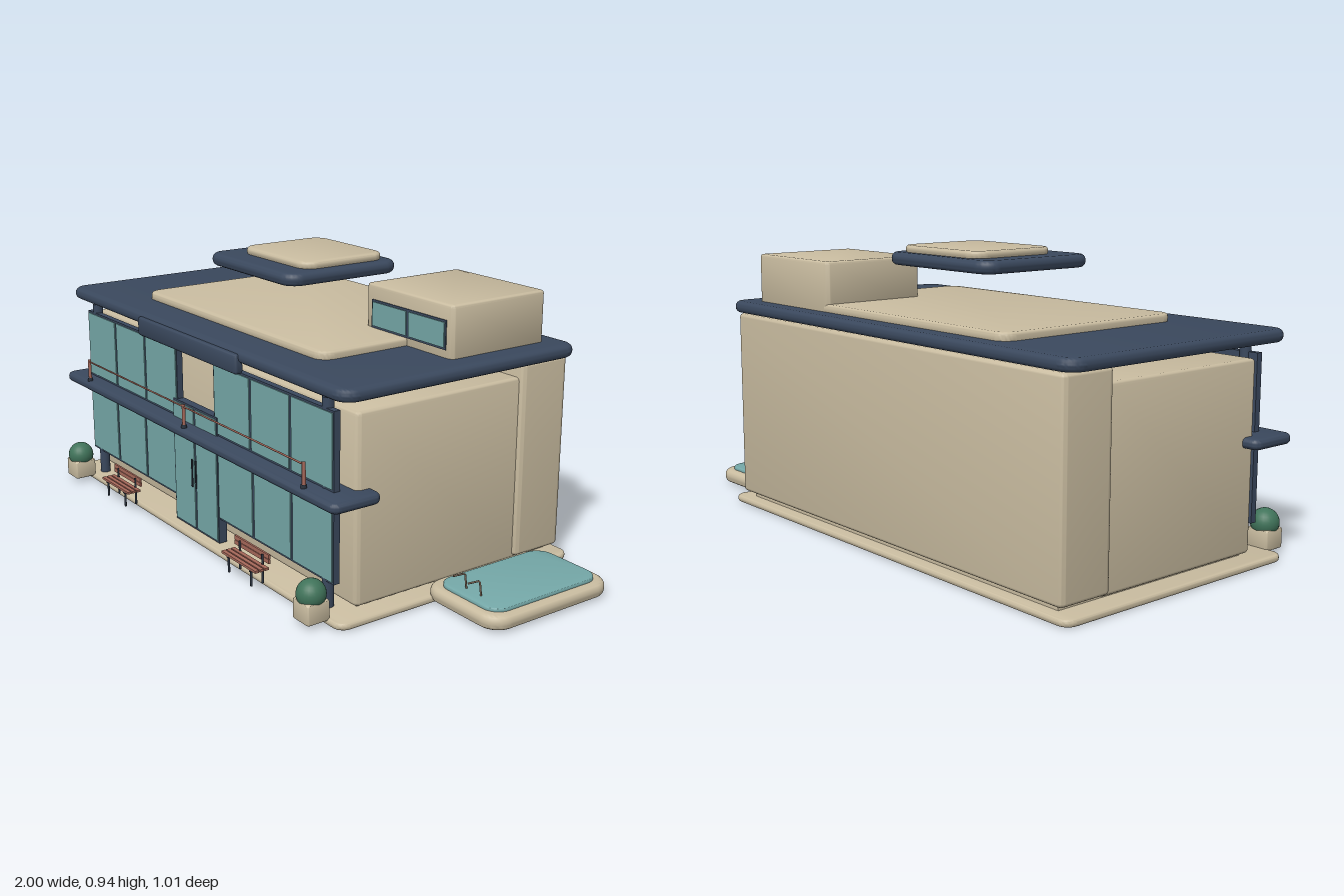
import * as THREE from 'three';
import { toCreasedNormals } from 'three/addons/utils/BufferGeometryUtils.js';

const mat = (name, color) => {
  const m = new THREE.MeshStandardMaterial({ color });
  m.name = name;
  return m;
};

export function createModel() {
  const root = new THREE.Group();
  const sand = mat('sand', 0xc9bca0), navy = mat('navy', 0x3a485d), glass = mat('glass', 0x74a7a7);
  const copper = mat('copper', 0xa5685a), green = mat('leaf green', 0x40735a), dark = mat('dark steel', 0x2c3440);
  const bronze = mat('bronze', 0x8b7765);

  const add = (name, geo, material, parent = root) => {
    const m = new THREE.Mesh(geo, material);
    m.name = name;
    parent.add(m);
    return m;
  };
  const group = (name, x = 0, y = 0, z = 0) => {
    const g = new THREE.Group();
    g.name = name;
    g.position.set(x, y, z);
    root.add(g);
    return g;
  };
  // Plain box given by its limits
  const box = (name, material, [x0, x1], [y0, y1], [z0, z1], parent) => {
    const m = add(name, new THREE.BoxGeometry(x1 - x0, y1 - y0, z1 - z0), material, parent);
    m.position.set((x0 + x1) / 2, (y0 + y1) / 2, (z0 + z1) / 2);
    return m;
  };
  // Slab with rounded plan corners (r) and rounded upper and lower edges (b)
  const slab = (name, material, [x0, x1], [y0, y1], [z0, z1], r, b, parent) => {
    const w = (x1 - x0) / 2 - b, d = (z1 - z0) / 2 - b, k = Math.max(r - b, 0.002);
    const s = new THREE.Shape();
    s.moveTo(-w + k, -d);
    s.absarc(w - k, -d + k, k, -Math.PI / 2, 0);
    s.absarc(w - k, d - k, k, 0, Math.PI / 2);
    s.absarc(-w + k, d - k, k, Math.PI / 2, Math.PI);
    s.absarc(-w + k, -d + k, k, Math.PI, Math.PI * 1.5);
    let geo = new THREE.ExtrudeGeometry(s, {
      depth: y1 - y0 - 2 * b, bevelSize: b, bevelThickness: b, bevelSegments: 4, curveSegments: 6,
    });
    geo.translate(0, 0, b).rotateX(-Math.PI / 2);
    geo = toCreasedNormals(geo, 0.6);
    const m = add(name, geo, material, parent);
    m.position.set((x0 + x1) / 2, y0, (z0 + z1) / 2);
    return m;
  };
  // Round bar following a few points
  const bar = (name, material, pts, radius, parent) => {
    const path = new THREE.CurvePath();
    const v = pts.map((p) => new THREE.Vector3(...p));
    for (let i = 1; i < v.length; i++) path.add(new THREE.LineCurve3(v[i - 1], v[i]));
    return add(name, new THREE.TubeGeometry(path, (v.length - 1) * 6, radius, 8), material, parent);
  };

  // Ground and walls
  slab('groundSlab', sand, [-1, 0.72], [0, 0.022], [-0.505, 0.43], 0.04, 0.008);
  box('foundation', sand, [-0.92, 0.64], [0.02, 0.05], [-0.46, 0.31]);
  slab('mainWalls', sand, [-0.945, 0.665], [0.032, 0.636], [-0.32, 0.332], 0.02, 0.012);
  slab('rearWalls', sand, [-0.96, 0.68], [0.042, 0.682], [-0.49, -0.295], 0.02, 0.012);
  box('roofNeck', sand, [-0.9, 0.62], [0.67, 0.7], [-0.46, -0.32]);

  // Roof, roof terrace and floating canopy
  slab('roof', navy, [-1, 0.72], [0.685, 0.725], [-0.5, 0.42], 0.06, 0.018);
  slab('roofFascia', navy, [-0.455, 0.175], [0.65, 0.715], [0.4, 0.432], 0.012, 0.01);
  slab('roofTerrace', sand, [-0.66, 0.42], [0.715, 0.75], [-0.43, 0.28], 0.05, 0.01);
  slab('penthouse', sand, [0.21, 0.63], [0.715, 0.89], [-0.43, -0.045], 0.02, 0.01);
  slab('canopy', navy, [-0.395, 0.115], [0.88, 0.922], [-0.266, 0.186], 0.06, 0.018);
  slab('canopyTop', sand, [-0.312, 0.074], [0.918, 0.945], [-0.236, 0.096], 0.055, 0.01);

  // Framed band of window panes
  const windows = (name, x0, x1, y0, y1, z, n, depth) => {
    const g = group(name);
    box('frame', navy, [x0, x1], [y0, y1], [z - depth, z], g);
    const step = (x1 - x0) / n;
    for (let i = 0; i < n; i++) {
      box('pane', glass, [x0 + i * step + 0.006, x0 + (i + 1) * step - 0.006],
        [y0 + 0.007, y1 - 0.007], [z - 0.003, z + 0.003], g);
    }
  };
  windows('upperWindowsRight', -0.915, -0.258, 0.4, 0.645, 0.392, 3, 0.022);
  windows('upperWindowsLeft', -0.022, 0.635, 0.4, 0.645, 0.392, 3, 0.022);
  windows('lowerWindowsRight', -0.915, -0.275, 0.11, 0.36, 0.392, 3, 0.022);
  windows('lowerWindowsLeft', -0.005, 0.635, 0.11, 0.36, 0.392, 3, 0.022);
  windows('entranceDoors', -0.282, 0.002, 0.025, 0.462, 0.397, 2, 0.03);
  windows('penthouseWindow', 0.245, 0.605, 0.75, 0.842, -0.042, 2, 0.01);
  for (const x of [-0.152, -0.128]) bar('doorHandle', dark, [[x, 0.18, 0.405], [x, 0.28, 0.405]], 0.003);

  // Facade posts
  for (const x of [-0.865, 0.585]) {
    const post = add('facadePost', new THREE.CylinderGeometry(0.018, 0.018, 0.655, 16), navy);
    post.position.set(x, 0.348, 0.376);
  }

  // Balcony with copper railing
  slab('balcony', navy, [-1, 0.72], [0.367, 0.4], [0.275, 0.455], 0.03, 0.014);
  bar('handrail', copper, [[-0.83, 0.472, 0.438], [0.55, 0.472, 0.438]], 0.003);
  for (const x of [-0.83, -0.14, 0.55]) {
    bar('railPost', copper, [[x, 0.395, 0.438], [x, 0.482, 0.438]], 0.006);
    bar('railFoot', dark, [[x, 0.395, 0.438], [x, 0.412, 0.438]], 0.01);
  }

  // Benches
  for (const x of [-0.553, 0.273]) {
    const g = group('bench', x, 0, 0);
    for (const z of [0.452, 0.47, 0.488]) box('seatSlat', copper, [-0.098, 0.098], [0.077, 0.085], [z - 0.007, z + 0.007], g);
    for (const y of [0.102, 0.118]) box('backSlat', copper, [-0.098, 0.098], [y - 0.006, y + 0.008], [0.438, 0.445], g);
    for (const s of [-0.065, 0.065]) {
      bar('frontLeg', dark, [[s, 0.022, 0.488], [s, 0.078, 0.488]], 0.004, g);
      bar('backLeg', dark, [[s, 0.022, 0.446], [s, 0.12, 0.446]], 0.004, g);
      box('seatBrace', dark, [s - 0.004, s + 0.004], [0.071, 0.077], [0.442, 0.494], g);
    }
  }

  // Planters with round shrubs
  for (const x of [-0.9, 0.616]) {
    const g = group('planter', x, 0, 0.459);
    slab('pot', sand, [-0.041, 0.041], [0.014, 0.08], [-0.041, 0.041], 0.01, 0.006, g);
    add('shrub', new THREE.SphereGeometry(0.046, 24, 16), green, g).position.y = 0.096;
  }

  // Pool with water and ladder rails
  slab('poolRim', sand, [0.67, 1], [0.004, 0.052], [-0.408, 0.086], 0.07, 0.02);
  slab('poolWater', glass, [0.705, 0.97], [0.045, 0.063], [-0.38, 0.057], 0.055, 0.005);
  for (const x of [0.8, 0.865]) {
    bar('poolLadder', bronze, [[x, 0.055, 0.017], [x, 0.113, 0.025], [x, 0.117, 0.075]], 0.003);
  }
  return root;
}
